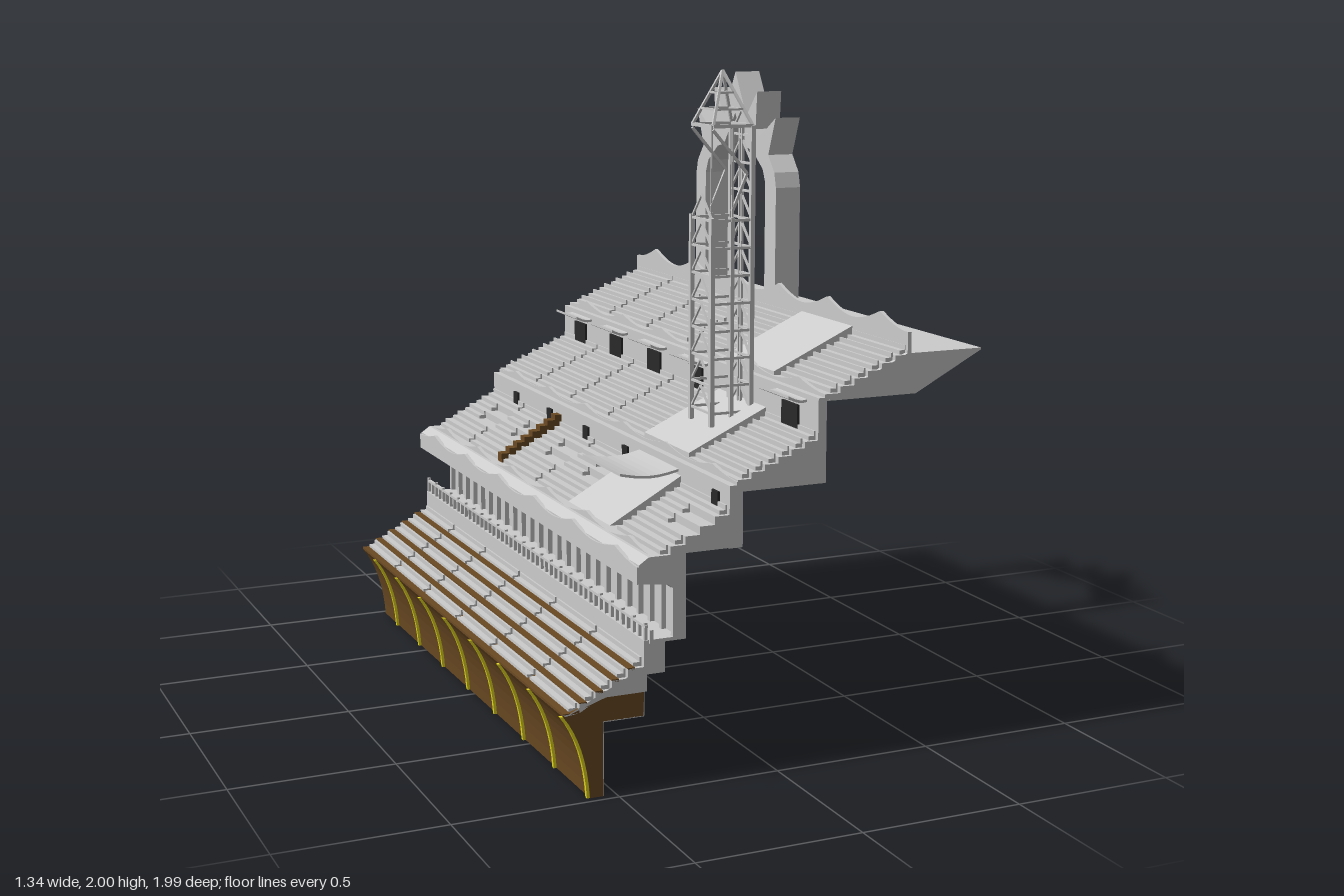
import * as THREE from 'three';
import { mergeGeometries } from 'three/addons/utils/BufferGeometryUtils.js';

const mat = (color) => new THREE.MeshStandardMaterial({ color, flatShading: true, side: THREE.DoubleSide });
const grey = mat(0xcccccc), brown = mat(0x6b4a23), yellow = mat(0xe6dc1e), dark = mat(0x2a2a2a);
const END = 0.977, BAY = 0.325;

export function createModel() {
  const model = new THREE.Group();
  const add = (name, geos, material = grey) => {
    const list = [].concat(geos).map((g) => (g.index ? g.toNonIndexed() : g));
    const mesh = new THREE.Mesh(mergeGeometries(list), material);
    mesh.name = name;
    model.add(mesh);
  };
  const box = (x0, x1, y0, y1, z0, z1) =>
    new THREE.BoxGeometry(x1 - x0, y1 - y0, z1 - z0).translate((x0 + x1) / 2, (y0 + y1) / 2, (z0 + z1) / 2);
  // x-y cross-section carried along z
  const prism = (pts, z0 = -END, z1 = END) =>
    new THREE.ExtrudeGeometry(new THREE.Shape(pts.map((p) => new THREE.Vector2(...p))), { depth: z1 - z0, bevelEnabled: false })
      .translate(0, 0, z0);
  // z-y outline given thickness along x
  const panel = (pts, x0, x1) =>
    new THREE.ExtrudeGeometry(new THREE.Shape(pts.map((p) => new THREE.Vector2(-p[0], p[1]))), { depth: x1 - x0, bevelEnabled: false })
      .rotateY(Math.PI / 2).translate(x0, 0, 0);
  const bar = (a, b, t = 0.008) => {
    const A = new THREE.Vector3(...a), B = new THREE.Vector3(...b), d = B.clone().sub(A);
    const q = new THREE.Quaternion().setFromUnitVectors(new THREE.Vector3(0, 1, 0), d.clone().normalize());
    return new THREE.BoxGeometry(t, d.length(), t).applyQuaternion(q).translate(...A.add(B).multiplyScalar(0.5).toArray());
  };

  // Curved timber base wall with yellow ribs
  const curve = new THREE.QuadraticBezierCurve(
    new THREE.Vector2(-0.66, 0.25), new THREE.Vector2(-0.59, 0.16), new THREE.Vector2(-0.58, 0));
  const face = curve.getPoints(8).map((p) => [p.x, p.y]);
  add('baseWall', prism([...face, [-0.54, 0], [-0.54, 0.22], [-0.415, 0.22], [-0.415, 0.29], [-0.53, 0.29]]), brown);
  add('baseWallBacking', [box(-0.541, -0.538, 0, 0.22, -END, END), box(-0.54, -0.415, 0.218, 0.221, -END, END),
    box(-0.416, -0.413, 0.22, 0.29, -END, END)]);
  const ribShape = [...face.map(([x, y]) => [x - 0.009, y]), ...[...face].reverse().map(([x, y]) => [x + 0.006, y])];
  const ribs = [];
  for (let i = 0; i < 8; i++) ribs.push(prism(ribShape, -0.822 + i * 0.255, -0.81 + i * 0.255));
  add('yellowRibs', ribs, yellow);

  // Seating tiers: stepped on both sides of the tower bay, optionally smooth in it
  const tier = (name, x0, y0, x1, y1, rows, under, smooth, seatGap) => {
    const steps = [], seats = [], dx = (x1 - x0) / rows, dy = (y1 - y0) / rows;
    for (let i = 0; i < rows; i++) steps.push([x0 + i * dx, y0 + i * dy], [x0 + (i + 1) * dx, y0 + i * dy]);
    const stepped = [...steps, [x1, y1], ...under];
    const ranges = smooth ? [[-END, BAY], [BAY * 2, END]] : [[-END, END]];
    add(name, ranges.map(([a, b]) => prism(stepped, a, b)));
    if (smooth) add(name + 'Ramp', prism([[x0, y0 + 0.012], [x1, y1 + 0.02], ...under], BAY, BAY * 2));
    // bench rows, split by aisles and entrance openings
    for (let bay = -3; bay < 3; bay++) {
      if (smooth && bay === 1) continue;
      for (let i = 0; i < rows; i++) {
        const gap = seatGap && i > 1 && i < rows - 1 ? 0.16 : 0.012;
        const sx = x0 + (i + 0.45) * dx, sy = y0 + i * dy, z0 = bay * BAY + 0.006, z1 = (bay + 1) * BAY - gap;
        seats.push(box(sx, sx + dx * 0.45, sy, sy + 0.012, z0, z1), box(sx + dx * 0.4, sx + dx * 0.52, sy, sy + 0.026, z0, z1));
      }
    }
    add(name + 'Benches', seats);
  };
  tier('lowerTier', -0.66, 0.255, -0.415, 0.39, 5, [[-0.415, 0.29], [-0.53, 0.29], [-0.655, 0.25]], false, false);
  tier('secondTier', -0.38, 0.68, -0.15, 0.8, 5, [[-0.13, 0.8], [-0.13, 0.68]], true, true);
  tier('thirdTier', -0.125, 0.875, 0.13, 0.985, 6, [[0.157, 0.985], [0.157, 0.84], [-0.125, 0.84]], true, false);
  tier('upperTier', 0.155, 1.1, 0.425, 1.215, 6, [[0.425, 1.18], [0.155, 1.08]], true, false);

  // Timber treads showing between the lower benches
  const treads = [];
  for (let i = 0; i < 5; i++) treads.push(box(-0.66 + i * 0.049, -0.638 + i * 0.049, 0.25 + i * 0.027, 0.258 + i * 0.027, -END, END));
  add('timberTreads', treads, brown);

  // Walls and floors joining the tiers
  add('lowerLedge', prism([[-0.415, 0.29], [-0.415, 0.44], [-0.285, 0.44], [-0.285, 0.43], [-0.35, 0.43], [-0.35, 0.34], [-0.405, 0.34], [-0.405, 0.29]]));
  add('gallery', prism([[-0.31, 0.44], [-0.31, 0.57], [-0.34, 0.595], [-0.43, 0.605], [-0.43, 0.66], [-0.4, 0.68],
    [-0.285, 0.68], [-0.285, 0.44]]));
  add('secondWall', box(-0.15, -0.108, 0.678, 0.86, -END, END));
  add('thirdWall', box(0.13, 0.157, 0.84, 1.09, -END, END));
  add('topDeck', prism([[0.157, 1.08], [0.45, 1.08], [0.67, 1.195], [0.67, 1.2], [0.42, 1.2]]));

  // Scalloped parapets, one peak in each bay
  const scallop = (x, y0, y1, amp, t = 0.012) => {
    const pts = [[-END, y0]];
    for (let i = 0; i <= 96; i++) {
      const z = -END + (2 * END * i) / 96, s = Math.abs(((z + 4 * BAY) / BAY) % 1 - 0.5) * 2;
      pts.push([z, y1 + amp * (1 - s) ** 0 * (1 - s) ** 1.8]);
    }
    pts.push([END, y0]);
    return panel(pts, x, x + t);
  };
  add('topParapet', scallop(0.42, 1.2, 1.262, 0.04));
  add('tierParapets', [scallop(0.15, 1.08, 1.1, 0.025), scallop(-0.128, 0.84, 0.87, 0.02),
    scallop(-0.436, 0.605, 0.655, 0.025), scallop(-0.39, 0.67, 0.68, 0.022)]);

  // Gallery posts and balustrade
  const posts = [], rail = [box(-0.412, -0.402, 0.476, 0.484, -END, END)];
  for (let i = 0; i <= 24; i++) {
    const z = -0.97 + i * 0.0808;
    posts.push(box(-0.325, -0.308, 0.44, 0.585, z - 0.008, z + 0.008));
    rail.push(box(-0.412, -0.402, 0.39, 0.49, z - 0.005, z + 0.005));
    rail.push(box(-0.412, -0.402, 0.44, 0.48, z + 0.036, z + 0.044));
  }
  add('galleryPosts', posts);
  add('galleryBalustrade', rail);

  // Curved entrance canopies and doors
  const canopy = (x0, x1, y, z, w) => {
    const pts = [], n = 8;
    for (let i = 0; i <= n; i++) pts.push([x0 + ((x1 - x0) * i) / n, y - 0.015 * Math.sin((Math.PI * i) / n)]);
    return prism([...pts, ...pts.map(([x, h]) => [x, h + 0.008]).reverse()], z - w / 2, z + w / 2);
  };
  const roofs = [], doors = [], bays = [-2.5, -1.5, -0.5, 0.5, 2.5];
  for (const b of bays) {
    const z = b * BAY;
    roofs.push(canopy(0.07, 0.16, 1.08, z, 0.19));
    doors.push(box(0.122, 0.135, 0.98, 1.05, z - 0.05, z + 0.05), box(-0.158, -0.145, 0.76, 0.83, z + 0.06, z + 0.1));
  }
  add('entranceCanopies', roofs);
  add('doors', doors, dark);
  add('bayCanopy', canopy(-0.34, -0.14, 0.832, 1.5 * BAY, 0.29));

  // Timber stair crossing the second tier
  const stair = [];
  for (let i = 0; i < 8; i++) stair.push(box(-0.365 + i * 0.0275, -0.337 + i * 0.0275, 0.678 + i * 0.015, 0.71 + i * 0.0165, -0.35, -0.312));
  add('timberStair', stair, brown);

  // Lattice tower
  const xa = -0.013, xm = 0.052, xb = 0.118, za = 0.425, zm = 0.493, zb = 0.568, top = 1.84;
  const frame = [];
  for (const z of [za, zb]) {
    frame.push(bar([xa, 0.94, z], [xa, 1.57, z], 0.014), bar([xm, 0.94, z], [xm, 1.57, z], 0.012), bar([xb, 0.94, z], [xb, top, z], 0.014));
    frame.push(bar([xa, top, z], [xb, top, z], 0.01), bar([xa, 1.83, z], [0.1, 1.7, z]), bar([0.1, 1.7, z], [xm, 1.59, z]));
    frame.push(bar([xm, top, z], [xm, 1.57, z], 0.005));
  }
  for (const z of [zm - 0.008, zm + 0.008]) frame.push(bar([xb, 0.94, z], [xb, top, z], 0.008));
  for (const x of [xa, xb]) frame.push(bar([x, top, za], [x, top, zb], 0.01));
  for (let i = 0; i < 11; i++) {
    const y = 0.98 + i * 0.083;
    const sides = y < 1.57 ? [xa, xb] : [xb];
    for (const x of sides) {
      frame.push(bar([x, y, za], [x, y, zb], 0.007));
      frame.push(bar([x, y, za], [x, y + 0.075, zm], 0.006), bar([x, y, zb], [x, y + 0.075, zm], 0.006));
    }
    if (y < 1.57) for (const z of [za, zb]) frame.push(bar([xa, y, z], [xb, y, z], 0.008));
  }
  // pyramid cap
  const apex = [xm, 2.0, zm + 0.003];
  const corners = [[xa, za], [xb, za], [xb, zb], [xa, zb]];
  const at = ([x, z], t) => [x + (apex[0] - x) * t, top + (apex[1] - top) * t, z + (apex[2] - z) * t];
  corners.forEach((c, i) => {
    frame.push(bar(at(c, 0), apex, 0.008));
    for (const t of [0.3, 0.6]) frame.push(bar(at(c, t), at(corners[(i + 1) % 4], t), 0.006));
  });
  add('latticeTower', frame);

  // Spiked arch, mirrored about its centre
  const outer = [[0.308, 1.2], [0.308, 1.59], [0.295, 1.64], [0.25, 1.695], [0.3, 1.82], [0.185, 1.75], [0.155, 1.775],
    [0.165, 1.9], [0.085, 1.815]];
  const inner = [[0, 1.72], [0.085, 1.71], [0.135, 1.7], [0.21, 1.645], [0.23, 1.6], [0.23, 1.2]];
  inner[0][1] = 1.82;
  const mirror = (pts) => pts.map(([u, y]) => [-u, y]).reverse();
  const arch = [...outer, [0, 1.96], ...mirror(outer), ...mirror(inner), ...inner.slice(1)];
  add('spikedArch', panel(arch.map(([u, y]) => [u - 0.325, y]), 0.5, 0.59));

  return model;
}
